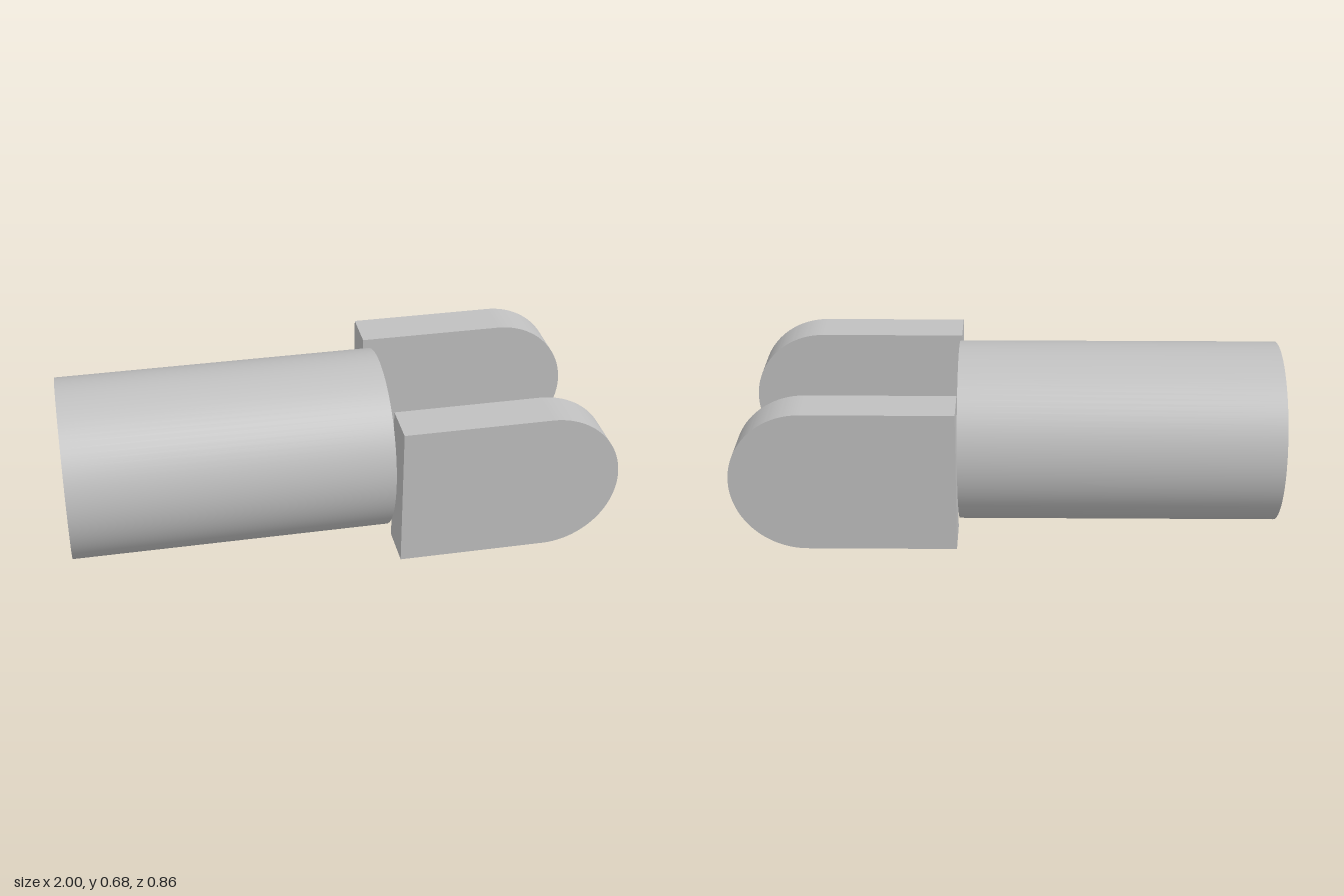
import * as THREE from 'three';
import { toCreasedNormals } from 'three/addons/utils/BufferGeometryUtils.js';

export function createModel() {
  const group = new THREE.Group();
  const steel = new THREE.MeshStandardMaterial({ color: 0xc0c0c0 });
  steel.name = 'light grey';

  const axisY = 0.3375; // height of the shared centre line
  const joinX = 0.188; // where the shaft ends and the prongs begin

  // Round shaft lying along x
  const length = joinX + 1;
  const shaft = new THREE.Mesh(new THREE.CylinderGeometry(0.3375, 0.3375, length, 96), steel);
  shaft.name = 'shaft';
  shaft.rotation.z = Math.PI / 2;
  shaft.position.set(-1 + length / 2, axisY, 0);
  group.add(shaft);

  // Fork prong outline: square at the shaft, half round at the tip
  const r = 0.27;
  const thickness = 0.16;
  const outline = new THREE.Shape();
  outline.moveTo(joinX, -r);
  outline.lineTo(1 - r, -r);
  outline.absarc(1 - r, 0, r, -Math.PI / 2, Math.PI / 2, false);
  outline.lineTo(joinX, r);
  outline.closePath();
  const prongGeometry = toCreasedNormals(
    new THREE.ExtrudeGeometry(outline, { depth: thickness, bevelEnabled: false, curveSegments: 48 }),
    0.5
  );
  prongGeometry.translate(0, 0, -thickness / 2);

  // One prong on each side of the fork
  for (const side of [1, -1]) {
    const prong = new THREE.Mesh(prongGeometry, steel);
    prong.name = side > 0 ? 'frontProng' : 'backProng';
    prong.position.set(0, axisY, side * 0.351);
    group.add(prong);
  }

  return group;
}
